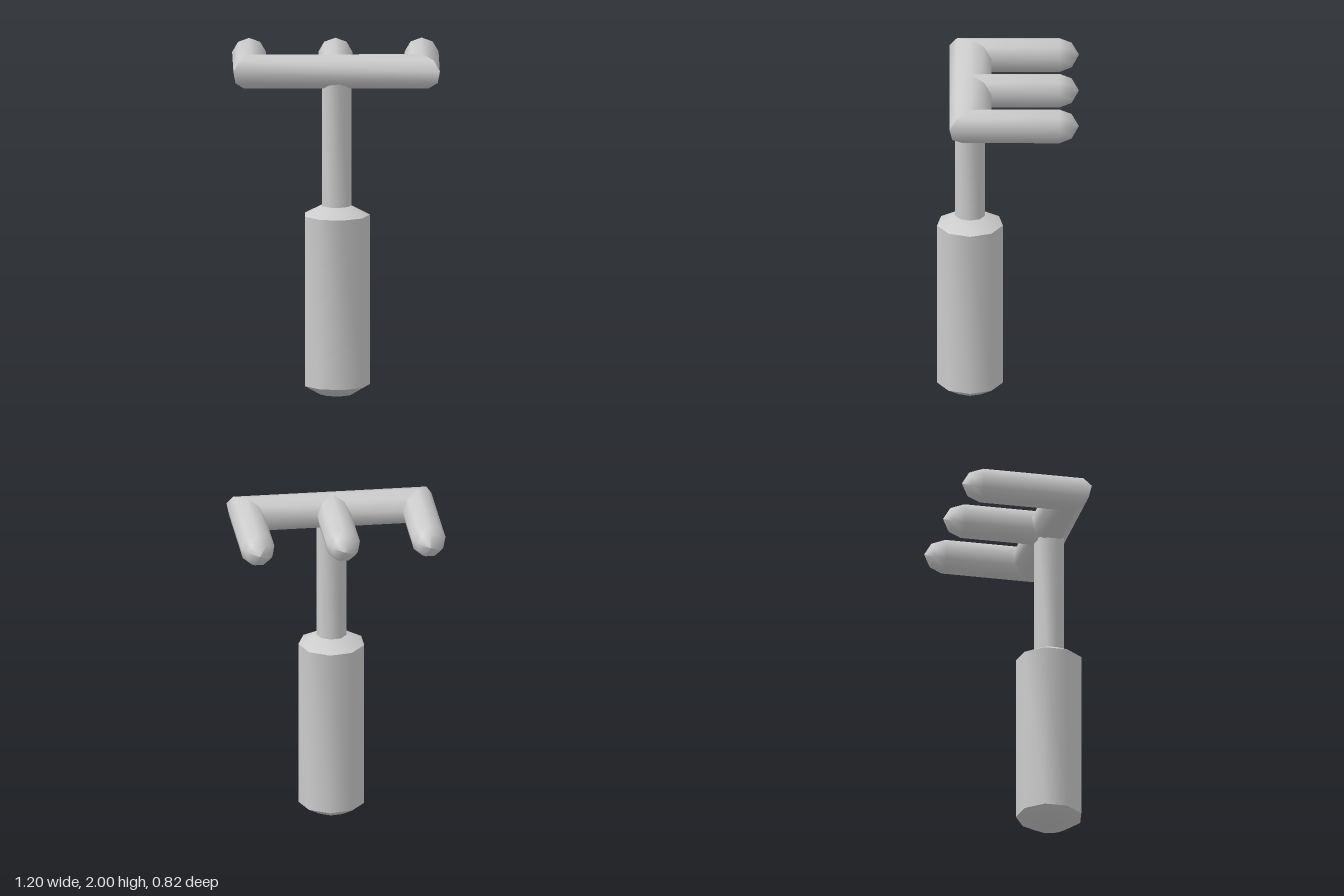
import * as THREE from 'three';
import { toCreasedNormals } from 'three/addons/utils/BufferGeometryUtils.js';

const SIDES = 9;
const Y = 1.9;        // height of the fork's centre line
const BAR_Z = 0.216;  // depth of the crossbar and handle
const R = 0.1;        // tine radius
const CREASE = THREE.MathUtils.degToRad(50);
const material = new THREE.MeshStandardMaterial({ color: 0xcccccc });

function addMesh(parent, name, geometry) {
  const mesh = new THREE.Mesh(toCreasedNormals(geometry, CREASE), material);
  mesh.name = name;
  parent.add(mesh);
}

// A nine-sided ring around (x, Y, z); (ux, uz) is its sideways axis.
const ring = (x, z, ux, uz, r = R) =>
  Array.from({ length: SIDES }, (_, i) => {
    const a = (i / SIDES) * Math.PI * 2;
    const s = Math.sin(a) * r;
    return [x + ux * s, Y + Math.cos(a) * r, z + uz * s];
  });

// Skin joining consecutive rings.
function loft(rings) {
  const index = [];
  for (let j = 0; j < rings.length - 1; j++) {
    for (let i = 0; i < SIDES; i++) {
      const n = (i + 1) % SIDES;
      const a = j * SIDES + i, b = j * SIDES + n;
      const c = a + SIDES, d = b + SIDES;
      index.push(a, c, b, b, c, d);
    }
  }
  const geometry = new THREE.BufferGeometry();
  geometry.setAttribute('position', new THREE.Float32BufferAttribute(rings.flat(2), 3));
  geometry.setIndex(index);
  return geometry;
}

// Domed tip of a tine, from its point towards the crossbar.
const tip = (x) => [[-0.412, 0.0005], [-0.37, 0.073], [-0.3, R]]
  .map(([z, r]) => ring(x, z, 1, 0, r));

export function createModel() {
  const model = new THREE.Group();
  model.name = 'threeTinedFork';

  // Chamfered grip and slim neck, turned as separate profiles
  const turned = (points) => new THREE.LatheGeometry(
    points.map(([r, y]) => new THREE.Vector2(r, y)),
    SIDES, THREE.MathUtils.degToRad(10)
  ).translate(0, 0, 0.219);
  addMesh(model, 'grip', turned([[0, 0], [0.1, 0], [0.194, 0.055], [0.194, 1.055], [0.088, 1.11], [0, 1.11]]));
  addMesh(model, 'neck', turned([[0.088, 1.1], [0.088, 1.86], [0, 1.86]]));

  // Crossbar, slightly deeper than tall, mitred at both ends
  const miter = 1.23;
  addMesh(model, 'crossbar', loft([
    ring(0.5, BAR_Z, 1, miter),
    ring(-0.5, BAR_Z, -1, miter),
  ]));

  // Outer tines meet the crossbar on the mitre; the middle one runs into it
  addMesh(model, 'leftTine', loft([...tip(0.5), ring(0.5, BAR_Z, 1, miter)]));
  addMesh(model, 'rightTine', loft([...tip(-0.5), ring(-0.5, BAR_Z, 1, -miter)]));
  addMesh(model, 'middleTine', loft([...tip(0), ring(0, BAR_Z, 1, 0)]));

  return model;
}
